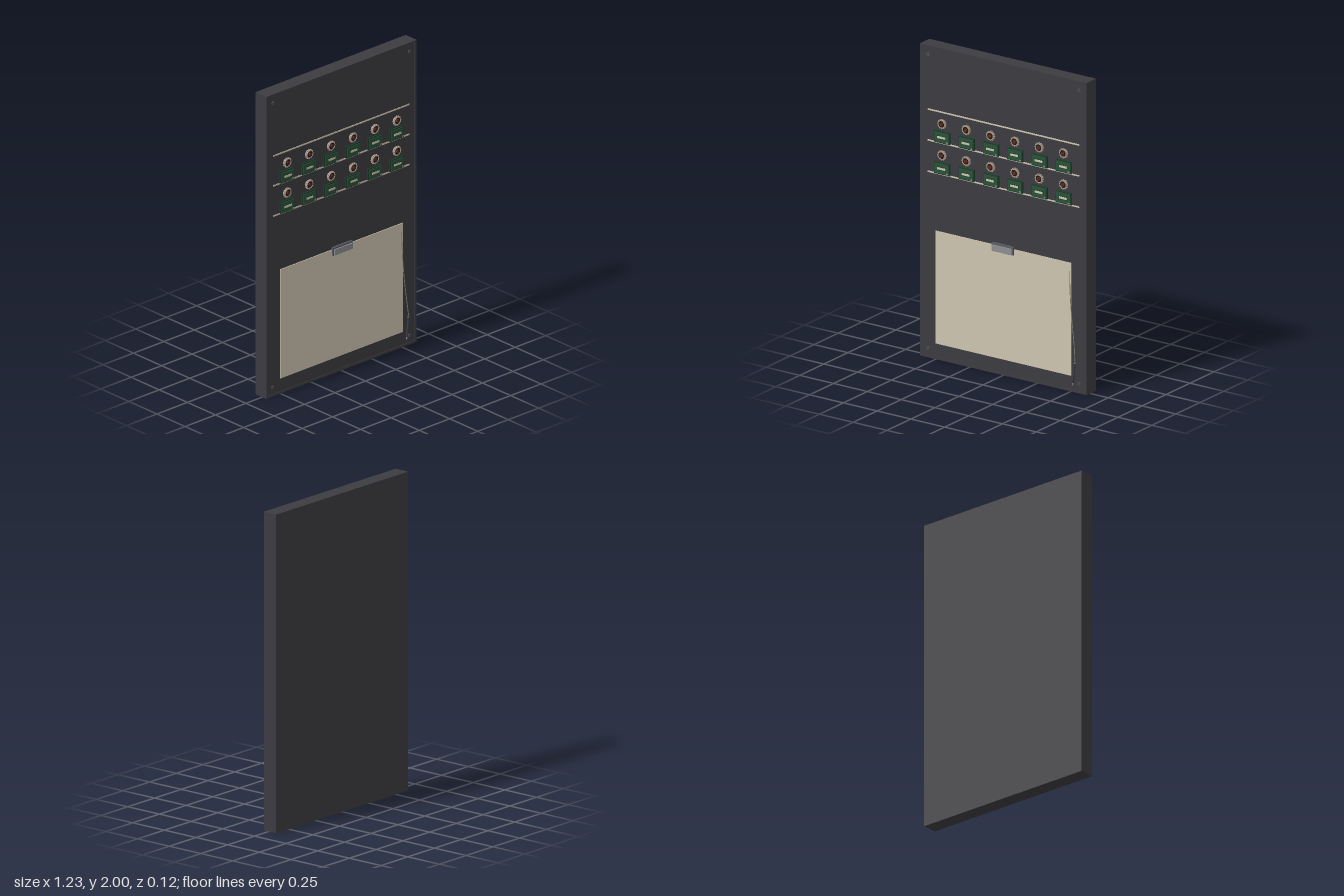
import * as THREE from 'three';

const mat = (name, color, side = THREE.FrontSide) => {
  const m = new THREE.MeshStandardMaterial({ color, side });
  m.name = name;
  return m;
};

export function createModel() {
  const M = {
    board: mat('charcoal board', 0x3c3b41),
    cream: mat('cream paper', 0xcdc5b0),
    green: mat('green case', 0x285238),
    darkGreen: mat('dark green edge', 0x1b3b28),
    steel: mat('steel', 0x8c8c92),
    darkSteel: mat('dark steel', 0x5a5a60),
    bezel: mat('pale copper', 0xa8988a),
    copper: mat('copper brown', 0x5a2c1a),
    black: mat('socket black', 0x1c1311),
    cord: mat('cord', 0x85806f),
  };
  const model = new THREE.Group();
  model.name = 'wallBoard';
  const FACE = 0.034; // front surface of the recessed panel

  const add = (parent, name, geo, material, x = 0, y = 0, z = 0) => {
    const mesh = new THREE.Mesh(geo, material);
    mesh.name = name;
    mesh.position.set(x, y, z);
    parent.add(mesh);
    return mesh;
  };
  // Box placed by its centre in x and y, and by its back and front in z
  const box = (parent, name, material, x, y, w, h, z0, z1) =>
    add(parent, name, new THREE.BoxGeometry(w, h, z1 - z0), material, x, y, (z0 + z1) / 2);
  const disc = (parent, name, material, r, z0, z1, sides = 20) => {
    const g = new THREE.CylinderGeometry(r, r, z1 - z0, sides).rotateX(Math.PI / 2);
    return add(parent, name, g, material, 0, 0, (z0 + z1) / 2);
  };

  // Panel with a low rim
  box(model, 'panel', M.board, 0, 1, 1.234, 2, -0.06, FACE);
  for (const s of [-1, 1]) {
    box(model, 'rimSide', M.board, s * 0.61, 1, 0.014, 2, FACE, 0.038);
    box(model, 'rimEnd', M.board, 0, 1 + s * 0.993, 1.206, 0.014, FACE, 0.038);
  }

  // Corner screws with crossed slots
  for (const x of [-0.56, 0.56]) for (const y of [0.06, 1.94]) {
    const screw = new THREE.Group();
    screw.name = 'screw';
    screw.position.set(x, y, 0);
    disc(screw, 'screwHead', M.darkSteel, 0.011, FACE, 0.037, 12);
    box(screw, 'slotAcross', M.board, 0, 0, 0.018, 0.004, 0.037, 0.0375);
    box(screw, 'slotUpright', M.board, 0, 0, 0.004, 0.018, 0.037, 0.0375);
    model.add(screw);
  }

  // Divider lines
  for (const y of [1.59, 1.392, 1.192])
    box(model, 'dividerLine', M.cream, 0, y, 1.12, 0.009, FACE, 0.037);

  // Round socket with a notched bezel
  const ringShape = new THREE.Shape();
  ringShape.absarc(0, 0, 0.026, 0, Math.PI * 2);
  const hole = new THREE.Path();
  hole.absarc(0, 0, 0.021, 0, Math.PI * 2, true);
  ringShape.holes.push(hole);
  const ringGeo = new THREE.ExtrudeGeometry(ringShape, { depth: 0.018, bevelEnabled: false, curveSegments: 16 });
  const makeSocket = () => {
    const g = new THREE.Group();
    g.name = 'socket';
    add(g, 'bezel', ringGeo, M.bezel, 0, 0, FACE);
    disc(g, 'socketWell', M.black, 0.0215, FACE, 0.049);
    disc(g, 'socketCore', M.copper, 0.012, 0.049, 0.055, 16);
    for (let i = 0; i < 12; i++) {
      const a = (i / 12) * Math.PI * 2;
      const tooth = box(g, 'bezelTooth', M.bezel, Math.cos(a) * 0.028, Math.sin(a) * 0.028, 0.008, 0.006, FACE + 0.006, 0.048);
      tooth.rotation.z = a;
    }
    return g;
  };

  // Green case with a label strip and a small button
  const makeCase = () => {
    const g = new THREE.Group();
    g.name = 'caseUnit';
    box(g, 'caseBase', M.darkGreen, 0, 0, 0.115, 0.076, FACE, 0.044);
    box(g, 'caseFace', M.green, 0, 0, 0.101, 0.062, 0.044, 0.049);
    box(g, 'labelFrame', M.darkGreen, 0, 0, 0.068, 0.023, 0.049, 0.05);
    box(g, 'label', M.cream, 0, 0, 0.058, 0.014, 0.05, 0.052);
    box(g, 'button', M.steel, 0.042, -0.027, 0.012, 0.009, 0.049, 0.051);
    return g;
  };

  for (const base of [1.397, 1.197]) for (let i = 0; i < 6; i++) {
    const x = -0.45 + i * 0.18;
    const socket = makeSocket(), unit = makeCase();
    socket.position.set(x, base + 0.121, 0);
    unit.position.set(x, base + 0.035, 0);
    model.add(socket, unit);
  }

  // Paper sheet and its clip
  box(model, 'paper', M.cream, 0, 0.462, 1.006, 0.722, FACE, 0.039);
  box(model, 'clipBase', M.darkSteel, 0, 0.812, 0.16, 0.052, 0.036, 0.05);
  box(model, 'clipPlate', M.steel, 0, 0.809, 0.148, 0.038, 0.05, 0.058);
  box(model, 'clipLip', M.darkSteel, 0, 0.836, 0.13, 0.008, 0.036, 0.046);

  // Cord running down to a hanging pen
  const cord = new THREE.CatmullRomCurve3([
    [0.492, 0.77, 0.039], [0.497, 0.62, 0.041], [0.512, 0.45, 0.042],
    [0.53, 0.3, 0.045], [0.54, 0.2, 0.051],
  ].map((p) => new THREE.Vector3(...p)));
  add(model, 'cord', new THREE.TubeGeometry(cord, 32, 0.0025, 6), M.cord);
  const pen = new THREE.Group();
  pen.name = 'pen';
  pen.position.set(0.531, 0.125, 0.051);
  pen.rotation.z = -0.11;
  add(pen, 'penBarrel', new THREE.CylinderGeometry(0.006, 0.006, 0.14, 10), M.board, 0, 0.01, 0);
  add(pen, 'penTip', new THREE.CylinderGeometry(0.006, 0.001, 0.022, 10), M.steel, 0, -0.071, 0);
  add(pen, 'penCollar', new THREE.CylinderGeometry(0.0065, 0.0065, 0.008, 10), M.cord, 0, 0.07, 0);
  model.add(pen);

  return model;
}
